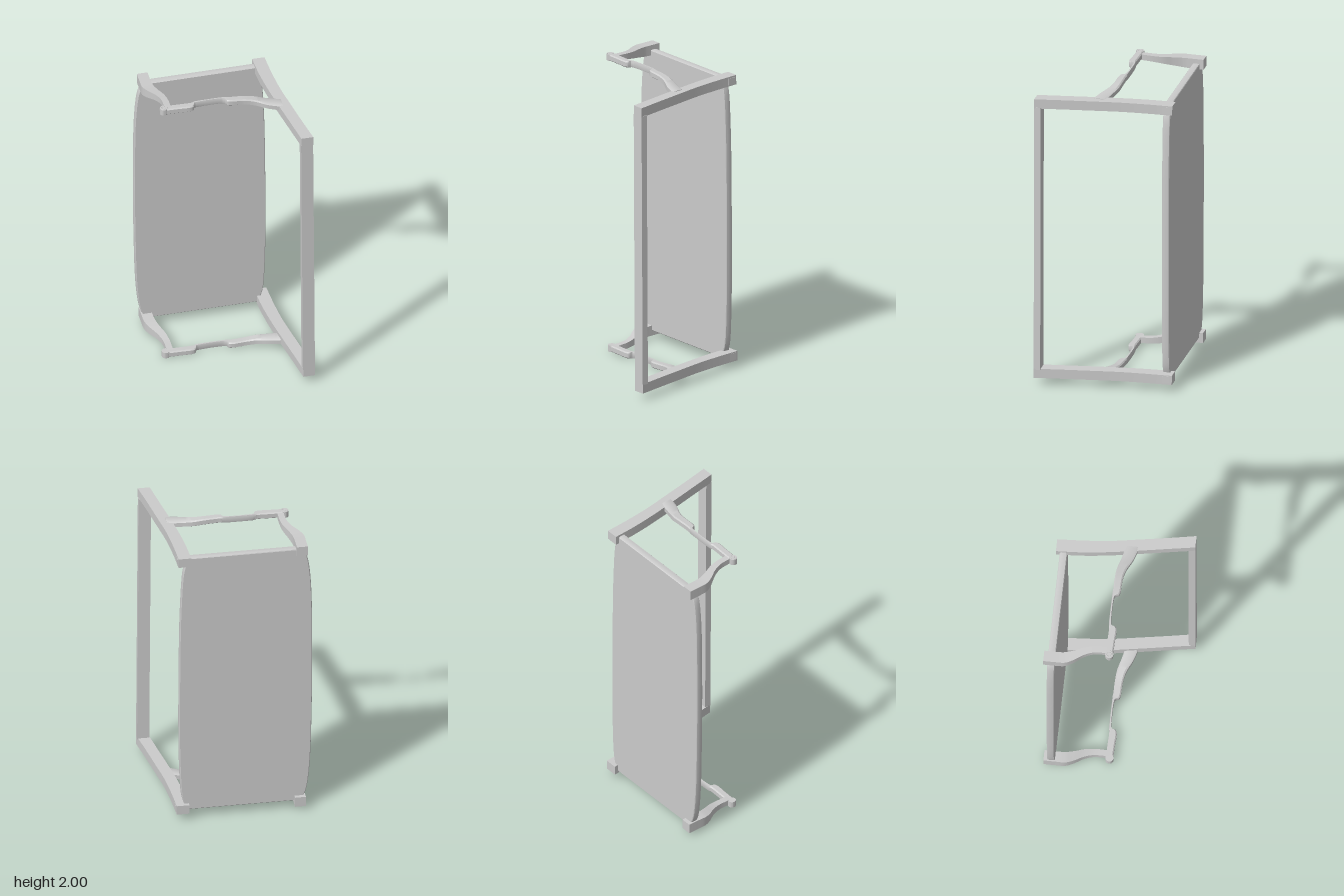
import * as THREE from 'three';
import { toCreasedNormals } from 'three/addons/utils/BufferGeometryUtils.js';

const material = new THREE.MeshStandardMaterial({ color: 0xcccccc });

function addMesh(parent, name, geometry) {
  const mesh = new THREE.Mesh(geometry, material);
  mesh.name = name;
  parent.add(mesh);
  return mesh;
}

// Bar lofted through stations [ax, az, bx, bz, y0, y1]: two edges in plan plus a height range.
// flip mirrors it about y = 1; bevel is the corner cut as a fraction of the section.
function bar(stations, steps, flip, bevel = 0) {
  const curve = (f) => new THREE.CatmullRomCurve3(stations.map(f));
  const edgeA = curve((s) => new THREE.Vector3(s[0], 0, s[1]));
  const edgeB = curve((s) => new THREE.Vector3(s[2], 0, s[3]));
  const heights = curve((s) => new THREE.Vector3(s[4], s[5], s[0] + s[1]));
  const c = bevel;
  const section = c
    ? [[c, 0], [1 - c, 0], [1, c], [1, 1 - c], [1 - c, 1], [c, 1], [0, 1 - c], [0, c]]
    : [[0, 0], [1, 0], [1, 1], [0, 1]];
  const n = section.length, pos = [], idx = [];
  for (let k = 0; k <= steps; k++) {
    const t = k / steps;
    const a = edgeA.getPoint(t), b = edgeB.getPoint(t), h = heights.getPoint(t);
    for (const [u, v] of section) {
      const p = a.clone().lerp(b, u);
      const y = h.x + (h.y - h.x) * v;
      pos.push(p.x, flip ? 2 - y : y, p.z);
    }
  }
  const tri = (i, j, k) => (flip ? idx.push(i, k, j) : idx.push(i, j, k));
  for (let k = 0; k < steps; k++) {
    for (let i = 0; i < n; i++) {
      const p = k * n + i, q = k * n + ((i + 1) % n);
      tri(p, q, q + n);
      tri(p, q + n, p + n);
    }
  }
  const last = steps * n;
  for (let i = 1; i < n - 1; i++) {
    tri(0, i + 1, i);
    tri(last, last + i, last + i + 1);
  }
  const g = new THREE.BufferGeometry();
  g.setAttribute('position', new THREE.Float32BufferAttribute(pos, 3));
  g.setIndex(idx);
  return toCreasedNormals(g, 0.6);
}

// Curved side leg
const legStations = [
  [0.291, -0.44, 0.372, -0.44], [0.301, -0.27, 0.381, -0.27], [0.321, -0.1, 0.397, -0.1],
  [0.350, 0.08, 0.426, 0.08], [0.381, 0.26, 0.456, 0.26], [0.411, 0.437, 0.488, 0.437],
].map((s) => [...s, 1.894, 1.957]);

// S-shaped arm post
const postStations = [
  [-0.459, -0.44, -0.389, -0.44, 1.905, 1.973],
  [-0.459, -0.37, -0.389, -0.37, 1.905, 1.973],
  [-0.456, -0.30, -0.386, -0.31, 1.91, 1.974],
  [-0.434, -0.25, -0.369, -0.25, 1.922, 1.978],
  [-0.396, -0.19, -0.343, -0.185, 1.938, 1.983],
  [-0.374, -0.13, -0.331, -0.12, 1.949, 1.988],
  [-0.369, -0.03, -0.329, -0.03, 1.955, 1.992],
];

// Armrest with a thin waist, sweeping into the leg
const armStations = [
  [-0.375, -0.005, -0.375, -0.051, 1.955, 1.997],
  [-0.29, -0.002, -0.29, -0.049, 1.955, 1.997],
  [-0.20, 0, -0.20, -0.047, 1.955, 1.997],
  [-0.185, -0.010, -0.188, -0.049, 1.955, 1.997],
  [-0.18, -0.030, -0.178, -0.051, 1.955, 1.997],
  [-0.168, -0.036, -0.165, -0.052, 1.955, 1.997],
  [0.012, -0.036, 0.012, -0.052, 1.955, 1.997],
  [0.023, -0.028, 0.023, -0.052, 1.955, 1.997],
  [0.03, -0.010, 0.035, -0.052, 1.955, 1.997],
  [0.05, -0.002, 0.055, -0.05, 1.954, 1.996],
  [0.14, 0.003, 0.145, -0.048, 1.948, 1.99],
  [0.205, 0.017, 0.21, -0.042, 1.938, 1.981],
  [0.285, 0.055, 0.29, -0.02, 1.926, 1.968],
  [0.375, 0.083, 0.375, 0.0, 1.915, 1.96],
];

function buildSide(name, flip) {
  const side = new THREE.Group();
  side.name = name;
  const my = (y) => (flip ? 2 - y : y);
  addMesh(side, 'sideLeg', bar(legStations, 30, flip));
  addMesh(side, 'armPost', bar(postStations, 36, flip));
  addMesh(side, 'armRest', bar(armStations, 104, flip, 0.16));

  // Rolled scroll at the front of the arm
  const scroll = addMesh(side, 'armScroll',
    toCreasedNormals(new THREE.CylinderGeometry(0.026, 0.026, 0.042, 28), 0.6));
  scroll.position.set(-0.378, my(1.976), -0.027);
  const spiral = [];
  for (let i = 0; i <= 24; i++) {
    const a = (i / 24) * Math.PI * 3.5, r = 0.024 - 0.018 * (i / 24);
    spiral.push(new THREE.Vector3(-0.378 + r * Math.cos(a), my(1.9965), -0.027 + r * Math.sin(a)));
  }
  addMesh(side, 'scrollSpiral',
    new THREE.TubeGeometry(new THREE.CatmullRomCurve3(spiral), 60, 0.002, 6));

  // Square peg showing on the outer face of the leg
  const peg = addMesh(side, 'legPeg', new THREE.BoxGeometry(0.02, 0.045, 0.05));
  peg.position.set(0.366, my(1.924), -0.4);
  return side;
}

// Panel with bowed long edges and softened rims
function seatGeometry() {
  const left = [[-0.405, 0.942], [-0.452, 0.9], [-0.476, 0.8], [-0.491, 0.6], [-0.497, 0.3], [-0.499, 0]];
  const right = [[0.295, 0.942], [0.32, 0.9], [0.341, 0.8], [0.353, 0.55], [0.357, 0.3], [0.358, 0]];
  const fullEdge = (half) => [
    ...half.map(([x, y]) => new THREE.Vector2(x, 1 + y)),
    ...half.slice(0, -1).reverse().map(([x, y]) => new THREE.Vector2(x, 1 - y)),
  ];
  const l = new THREE.SplineCurve(fullEdge(left)).getPoints(48);
  const r = new THREE.SplineCurve(fullEdge(right)).getPoints(48).reverse();
  const g = new THREE.ExtrudeGeometry(new THREE.Shape([...l, ...r]), {
    depth: 0.023, bevelEnabled: true, bevelThickness: 0.012,
    bevelSize: 0.006, bevelOffset: -0.006, bevelSegments: 2,
  });
  g.translate(0, 0, -0.403);
  return toCreasedNormals(g, 0.5);
}

export function createModel() {
  const model = new THREE.Group();
  model.name = 'bench';
  const body = new THREE.Group();
  body.name = 'benchBody';
  model.add(body);

  addMesh(body, 'seat', seatGeometry());
  body.add(buildSide('upperSide', false), buildSide('lowerSide', true));

  // Long rail joining the two legs
  const rail = addMesh(body, 'footRail', new THREE.BoxGeometry(0.078, 1.8, 0.043));
  rail.position.set(0.448, 1, 0.4155);

  // Slight lean about mid height
  body.rotation.z = 0.0065;
  body.position.x = 0.0065;
  return model;
}
